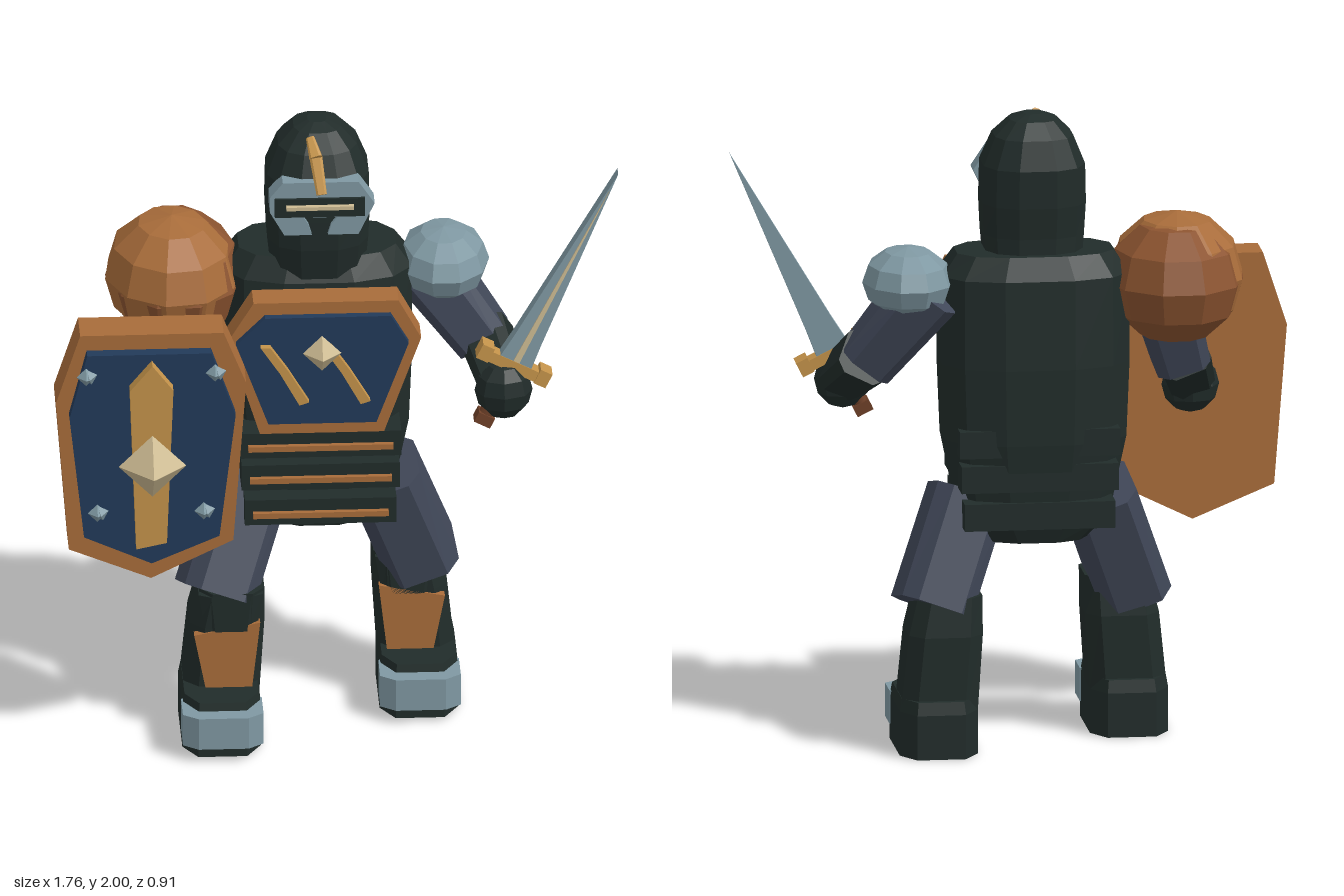
import * as THREE from 'three';

const mat = (name, color) => {
  const m = new THREE.MeshStandardMaterial({ color });
  m.name = name;
  return m;
};

// Outlines of unit cross-sections (x, z), running from +x towards +z
const CHAMFER = [[1, .62], [.62, 1], [-.62, 1], [-1, .62], [-1, -.62], [-.62, -1], [.62, -1], [1, -.62]];
const ROUND = Array.from({ length: 12 }, (_, i) => {
  const a = (i + .5) / 12 * Math.PI * 2, c = Math.cos(a), s = Math.sin(a);
  return [Math.sign(c) * Math.abs(c) ** .75, Math.sign(s) * Math.abs(s) ** .75];
});

// Faceted solid through rows of [y, radiusX, radiusZ, centreX, centreZ]
function loft(rows, outline) {
  const pos = [], n = outline.length;
  const at = (r, i) => {
    const [y, rx, rz, cx = 0, cz = 0] = rows[r], [u, v] = outline[i % n];
    return [cx + u * rx, y, cz + v * rz];
  };
  const mid = r => [rows[r][3] || 0, rows[r][0], rows[r][4] || 0];
  const last = rows.length - 1;
  for (let i = 0; i < n; i++) {
    for (let r = 0; r < last; r++) {
      const a = at(r, i), b = at(r, i + 1), c = at(r + 1, i), d = at(r + 1, i + 1);
      pos.push(...a, ...c, ...b, ...b, ...c, ...d);
    }
    pos.push(...mid(0), ...at(0, i), ...at(0, i + 1));
    pos.push(...mid(last), ...at(last, i + 1), ...at(last, i));
  }
  const g = new THREE.BufferGeometry();
  g.setAttribute('position', new THREE.Float32BufferAttribute(pos, 3));
  g.computeVertexNormals();
  return g;
}

// Flat plate with a polygon outline, from z to z + depth
function plate(points, z, depth) {
  const shape = new THREE.Shape(points.map(p => new THREE.Vector2(...p)));
  return new THREE.ExtrudeGeometry(shape, { depth, bevelEnabled: false }).translate(0, 0, z);
}

function ball(rx, ry, rz, w = 10, h = 6) {
  const g = new THREE.SphereGeometry(1, w, h).scale(rx, ry, rz).toNonIndexed();
  g.computeVertexNormals();
  return g;
}

export function createModel() {
  const dark = mat('dark armour', 0x212c2a), copper = mat('copper', 0xa86c3a);
  const bronze = mat('dark copper', 0x8c5430), steel = mat('steel', 0x7f98a2);
  const slate = mat('slate cloth', 0x414859), navy = mat('navy enamel', 0x223a59);
  const gold = mat('gold', 0xc4934a), cream = mat('pale gold', 0xcdbb92), brown = mat('brown leather', 0x6e4028);

  const model = new THREE.Group();
  model.name = 'knight';
  const add = (name, geo, material, x = 0, y = 0, z = 0) => {
    const m = new THREE.Mesh(geo, material);
    m.name = name;
    m.position.set(x, y, z);
    model.add(m);
    return m;
  };
  // Chamfered bar from a to b
  const limb = (name, a, b, w0, d0, w1, d1, material) => {
    const A = new THREE.Vector3(...a), B = new THREE.Vector3(...b), dir = B.clone().sub(A);
    const m = add(name, loft([[0, w0, d0], [dir.length(), w1, d1]], CHAMFER), material, ...a);
    // Keep the cross-section pointing to the front
    const Y = dir.normalize(), X = new THREE.Vector3().crossVectors(Y, new THREE.Vector3(0, 0, 1)).normalize();
    m.quaternion.setFromRotationMatrix(new THREE.Matrix4().makeBasis(X, Y, new THREE.Vector3().crossVectors(X, Y)));
    return m;
  };
  const C = -.05; // body centre line

  // Torso
  add('torso', loft([
    [.66, .17, .15, C, -.18], [.72, .235, .175, C, -.18], [.98, .29, .195, C, -.19], [1.22, .3, .2, C, -.19],
    [1.5, .3, .18, C, -.2], [1.57, .25, .14, C, -.2],
  ], ROUND), dark);

  // Waist plates with copper trim
  [[.985, .25], [.875, .245], [.755, .235]].forEach(([y, w], i) => {
    add('waistPlate' + i, new THREE.BoxGeometry(w * 2, .085, .43), dark, C, y, -.155);
    add('waistTrim' + i, new THREE.BoxGeometry(w * 2 - .05, .018, .02), copper, C, y - .005, .067);
  });

  // Chest plate
  add('chestPlate', plate([[-.26, 1.49], [-.34, 1.36], [-.24, 1.04], [.145, 1.04], [.26, 1.36], [.19, 1.49]], -.01, .097), copper);
  add('chestPanel', plate([[-.225, 1.45], [-.315, 1.36], [-.215, 1.085], [.12, 1.085], [.22, 1.355], [.165, 1.45]], .085, .028), navy);
  for (const x of [-.24, -.05]) {
    add('chestBar', plate([[x, 1.36], [x + .03, 1.36], [x + .085, 1.28], [x + .15, 1.17], [x + .12, 1.16], [x + .06, 1.27]], .112, .026), gold);
  }
  add('chestStud', new THREE.OctahedronGeometry(.06), cream, C, 1.34, .14);

  // Helmet
  add('helmet', loft([
    [1.5, .15, .14, C, -.17], [1.62, .16, .155, C, -.16], [1.72, .165, .165, C, -.165], [1.84, .162, .168, C, -.168],
    [1.93, .125, .13, C, -.175], [1.98, .075, .08, C, -.18], [1.997, .03, .035, C, -.18],
  ], ROUND), dark);
  add('visor', plate([
    [-.165, 1.865], [-.205, 1.815], [-.205, 1.765], [-.16, 1.685], [-.075, 1.685], [-.085, 1.72], [-.1, 1.745],
    [.005, 1.745], [-.015, 1.72], [-.025, 1.685], [.07, 1.685], [.12, 1.79], [.07, 1.865],
  ], -.06, .07), steel);
  add('visorSlit', new THREE.BoxGeometry(.28, .062, .02), dark, C, 1.782, .01);
  add('slitGlint', new THREE.BoxGeometry(.21, .012, .016), cream, C, 1.787, .028);
  limb('crest', [-.075, 1.975, -.08], [-.06, 1.93, -.03], .013, .012, .02, .014, gold);
  limb('crest', [-.06, 1.93, -.03], [-.045, 1.83, .025], .02, .014, .016, .012, gold);

  // Legs, one stepping forward
  for (const s of [1, -1]) {
    const side = s > 0 ? 'left' : 'right', fz = s > 0 ? -.21 : .03, sz = fz - .05;
    const X = d => C + s * d;
    limb(side + 'Thigh', [X(.2), .79, -.16], [X(.325), .45, sz + .01], .115, .125, .115, .14, slate);
    add(side + 'Shin', loft([[.14, .12, .12, X(.31), sz], [.38, .115, .125, X(.29), sz], [.5, .1, .12, X(.275), sz + .01]], CHAMFER), dark);
    const guard = [[X(.19), .4], [X(.395), .36], [X(.36), .18], [X(.215), .18]];
    add(side + 'ShinGuard', plate(s > 0 ? guard : guard.reverse(), sz + .1, .03), copper);
    add(side + 'Knee', loft([[.37, .08, .05], [.49, .1, .05]], CHAMFER), dark, X(.28), 0, sz + .08);
    add(side + 'Boot', loft([[0, .122, .2], [.14, .122, .2], [.18, .115, .19]], CHAMFER), dark, X(.312), 0, fz);
    add(side + 'ToeCap', loft([[.05, .125, .09], [.155, .125, .09]], CHAMFER), steel, X(.312), 0, fz + .16);
  }

  // Shoulder guards
  add('rightShoulderLining', ball(.215, .2, .26), bronze, -.49, 1.46, -.2);
  add('rightShoulderGuard', ball(.21, .2, .245), copper, -.5, 1.472, -.18).rotation.y = .15;
  add('leftShoulderGuard', ball(.142, .11, .185), steel, .345, 1.48, -.22);

  // Sword arm
  limb('leftUpperArm', [.28, 1.47, -.25], [.47, 1.22, -.18], .1, .12, .085, .09, slate);
  limb('leftForearm', [.47, 1.24, -.2], [.52, 1.14, -.02], .08, .08, .07, .07, dark);
  add('leftGauntlet', ball(.09, .095, .075, 8, 6), dark, .52, 1.13, -.005);

  // Shield arm
  limb('rightUpperArm', [-.45, 1.42, -.2], [-.52, 1.18, -.12], .1, .11, .085, .09, slate);
  limb('rightForearm', [-.52, 1.21, -.14], [-.57, 1.08, .06], .08, .08, .07, .07, dark);
  add('rightGauntlet', ball(.09, .09, .075, 8, 6), dark, -.57, 1.07, .04);

  // Sword, built upright and tilted
  const sword = new THREE.Group();
  sword.name = 'sword';
  const part = (name, geo, m) => {
    const mesh = new THREE.Mesh(geo, m);
    mesh.name = name;
    sword.add(mesh);
  };
  part('blade', plate([[-.055, .0], [.055, .0], [.045, .1], [0, .72], [-.045, .1]], -.025, .05), steel);
  part('bladeRidge', plate([[-.01, .02], [.01, .02], [0, .66]], .025, .006), cream);
  part('crossGuard', new THREE.BoxGeometry(.19, .035, .055), gold);
  for (const s of [-1, 1]) part('guardTip', new THREE.BoxGeometry(.04, .05, .065).translate(s * .1, .005, 0), gold);
  part('grip', new THREE.CylinderGeometry(.025, .025, .2, 8).translate(0, -.11, 0).toNonIndexed(), brown);
  part('pommel', new THREE.BoxGeometry(.055, .035, .055).translate(0, -.2, 0), brown);
  sword.position.set(.55, 1.215, -.01);
  sword.rotation.set(-.045, 0, -.47);
  model.add(sword);

  // Shield
  add('shieldBody', plate([
    [-.805, 1.465], [-.88, 1.235], [-.84, .73], [-.585, .625], [-.33, .75], [-.29, 1.29], [-.36, 1.465],
  ], .105, .13), copper);
  add('shieldPanel', plate([
    [-.785, 1.415], [-.84, 1.2], [-.795, .79], [-.585, .695], [-.375, .785], [-.325, 1.2], [-.4, 1.415],
  ], .235, .04), navy);
  add('shieldBlade', plate([
    [-.585, 1.395], [-.655, 1.31], [-.635, .765], [-.54, .785], [-.52, 1.31],
  ], .275, .042), gold);
  add('shieldBoss', new THREE.OctahedronGeometry(.105), cream, -.587, 1.07, .355);
  for (const [x, y] of [[-.79, 1.355], [-.39, 1.36], [-.755, .885], [-.425, .885]]) {
    add('shieldStud', new THREE.OctahedronGeometry(.03), steel, x, y, .3);
    add('shieldStud', new THREE.OctahedronGeometry(.026), steel, x + .01, y, .3).rotation.z = .3;
  }
  return model;
}
